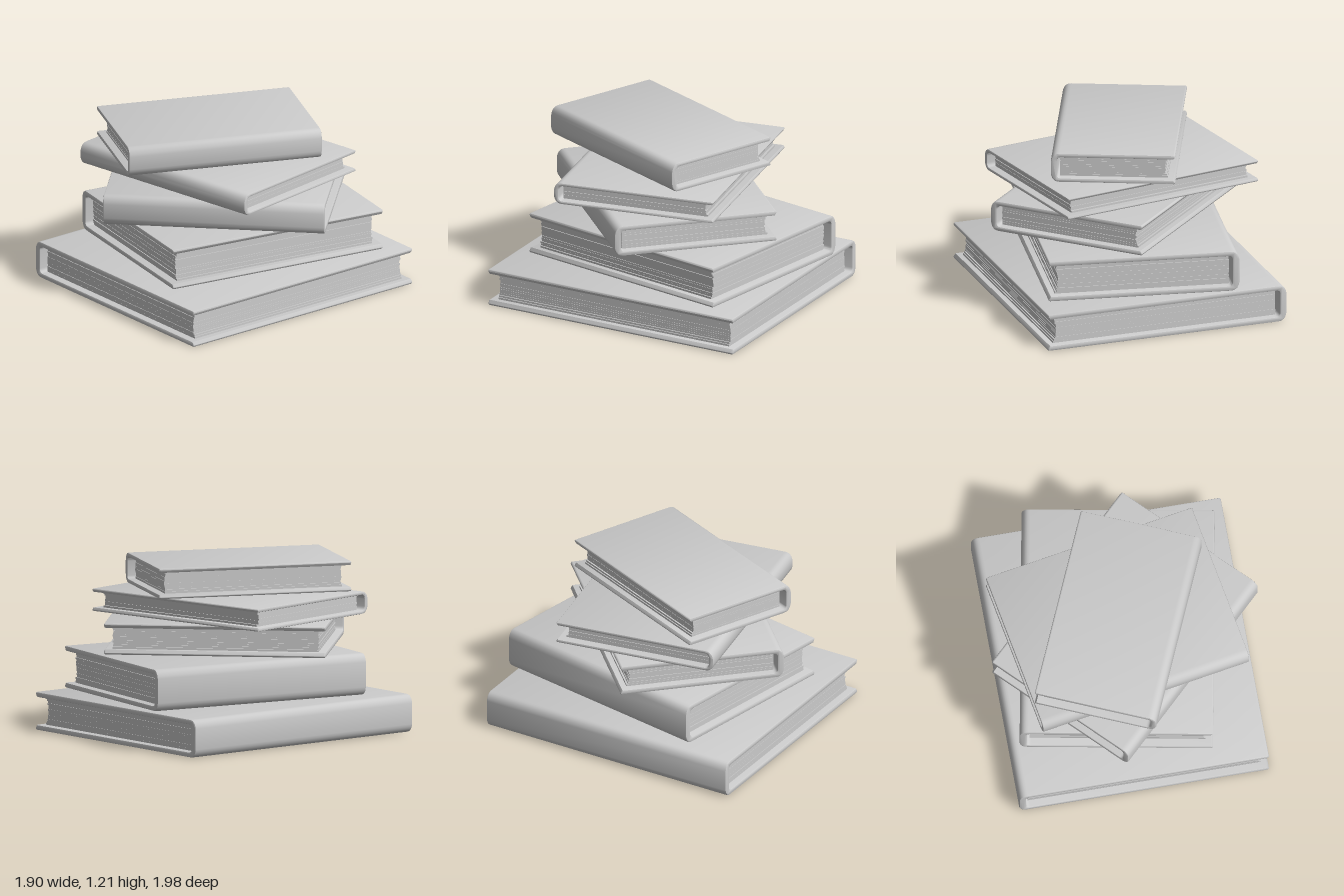
import * as THREE from 'three';
import { toCreasedNormals } from 'three/addons/utils/BufferGeometryUtils.js';

const material = new THREE.MeshStandardMaterial({ color: 0xcccccc });

// Small seeded generator for the uneven page edges
function makeRandom(seed) {
  let s = seed;
  return () => (s = (s * 16807) % 2147483647) / 2147483647;
}

// Hard cover: U-shaped profile (spine at x = 0, open towards +x) extruded along the length
function coverGeometry(w, h, length, t) {
  const r = 0.06, ri = 0.03, spine = t + 0.012, lip = t * 0.4, bevel = 0.01;
  const s = new THREE.Shape();
  s.moveTo(r, 0);
  s.lineTo(w - lip, 0);
  s.quadraticCurveTo(w, 0, w, lip);
  s.lineTo(w - lip, t);
  s.lineTo(spine + ri, t);
  s.quadraticCurveTo(spine, t, spine, t + ri);
  s.lineTo(spine, h - t - ri);
  s.quadraticCurveTo(spine, h - t, spine + ri, h - t);
  s.lineTo(w - lip, h - t);
  s.lineTo(w, h - lip);
  s.quadraticCurveTo(w, h, w - lip, h);
  s.lineTo(r, h);
  s.quadraticCurveTo(0.01, h, 0, h - r);
  s.lineTo(0, r);
  s.quadraticCurveTo(0.01, 0, r, 0);
  const g = new THREE.ExtrudeGeometry(s, {
    depth: length - 2 * bevel, curveSegments: 6,
    bevelEnabled: true, bevelSize: bevel, bevelOffset: -bevel, bevelThickness: bevel, bevelSegments: 2,
  });
  g.translate(-w / 2, 0, -length / 2 + bevel);
  return toCreasedNormals(g, 0.7);
}

// Page block: thin layers with a hollow fore edge and slightly uneven ends
function pageBlock(w, h, length, t, random) {
  const pages = new THREE.Group();
  pages.name = 'pages';
  const inner = h - 2 * t, count = Math.round(inner / 0.014), step = inner / count;
  const start = t + 0.03;
  for (let i = 0; i < count; i++) {
    const k = ((i + 0.5) / count) * 2 - 1;
    const end = w - 0.05 - 0.018 * (1 - k * k) - 0.01 * random();
    const layer = new THREE.Mesh(
      new THREE.BoxGeometry(end - start, step, length - 0.105 - 0.016 * random()), material);
    layer.name = 'pageLayer';
    layer.position.set((start + end) / 2 - w / 2, t + (i + 0.5) * step, 0);
    pages.add(layer);
  }
  return pages;
}

function makeBook({ name, x, z, y, w, h, length, t, turn }, seed) {
  const book = new THREE.Group();
  book.name = name;
  const cover = new THREE.Mesh(coverGeometry(w, h, length, t), material);
  cover.name = 'cover';
  book.add(cover, pageBlock(w, h, length, t, makeRandom(seed)));
  book.position.set(x, y, z);
  book.rotation.y = turn;
  return book;
}

// Stack from bottom to top; turn points the fore edge
const BOOKS = [
  { name: 'bottomBook', x: -0.03, z: 0.015, y: 0, w: 1.75, h: 0.265, length: 1.935, t: 0.036, turn: 0 },
  { name: 'secondBook', x: -0.035, z: -0.065, y: 0.285, w: 1.335, h: 0.292, length: 1.645, t: 0.036, turn: -0.182 },
  { name: 'middleBook', x: 0, z: 0.04, y: 0.6, w: 1.16, h: 0.22, length: 1.54, t: 0.034, turn: 2.345 },
  { name: 'fourthBook', x: -0.053, z: 0.05, y: 0.83, w: 1.165, h: 0.157, length: 1.515, t: 0.024, turn: 1.745 },
  { name: 'topBook', x: -0.06, z: 0.12, y: 1.002, w: 0.86, h: 0.212, length: 1.38, t: 0.03, turn: 2.734 },
];

export function createModel() {
  const model = new THREE.Group();
  model.name = 'bookStack';
  BOOKS.forEach((b, i) => model.add(makeBook(b, 101 + i * 977)));
  return model;
}
